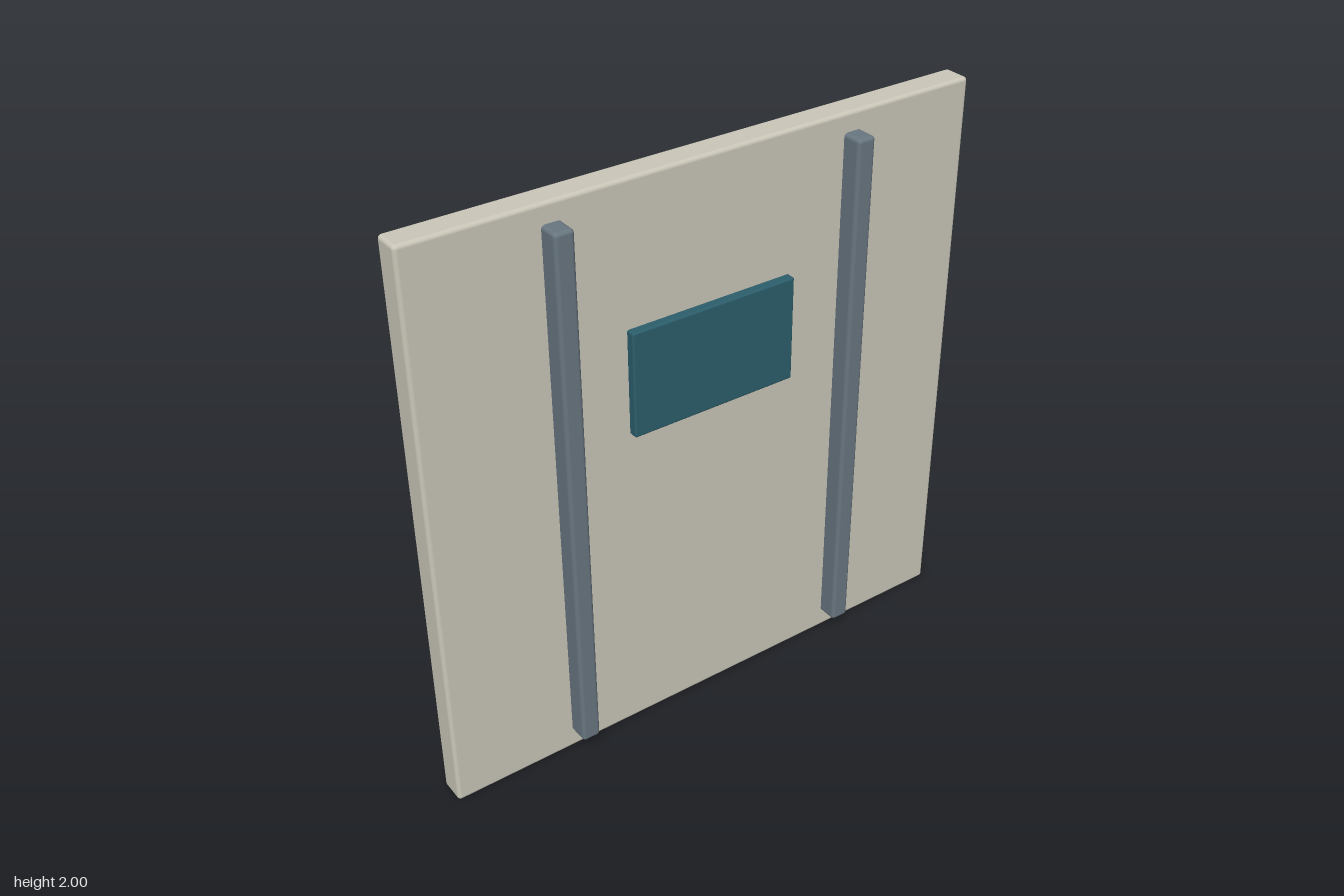
import * as THREE from 'three';
import { RoundedBoxGeometry } from 'three/addons/geometries/RoundedBoxGeometry.js';

const material = (name, color) => {
  const m = new THREE.MeshStandardMaterial({ color });
  m.name = name;
  return m;
};

// Softly rounded box given by its extents on each axis
function slab(name, [x0, x1], [y0, y1], [z0, z1], radius, mat) {
  const geometry = new RoundedBoxGeometry(x1 - x0, y1 - y0, z1 - z0, 3, radius);
  const mesh = new THREE.Mesh(geometry, mat);
  mesh.position.set((x0 + x1) / 2, (y0 + y1) / 2, (z0 + z1) / 2);
  mesh.name = name;
  return mesh;
}

export function createModel() {
  const group = new THREE.Group();
  group.name = 'wallPanel';
  const stone = material('warm stone', 0xcac6b8);
  const steel = material('slate grey', 0x687680);
  const teal = material('deep teal', 0x2c5e6c);

  // Main square panel
  group.add(slab('panel', [-1, 1], [0, 2], [-0.083, 0.013], 0.013, stone));

  // Vertical battens, mirrored and set slightly into the panel
  for (const side of [-1, 1]) {
    const name = side > 0 ? 'leftBatten' : 'rightBatten';
    const batten = slab(name, [-0.033, 0.033], [0.07, 1.935], [-0.005, 0.083], 0.013, steel);
    batten.position.x = side * 0.532;
    group.add(batten);
  }

  // Raised plaque between the battens
  group.add(slab('plaque', [-0.3, 0.3], [1.155, 1.52], [0.003, 0.043], 0.007, teal));

  return group;
}
